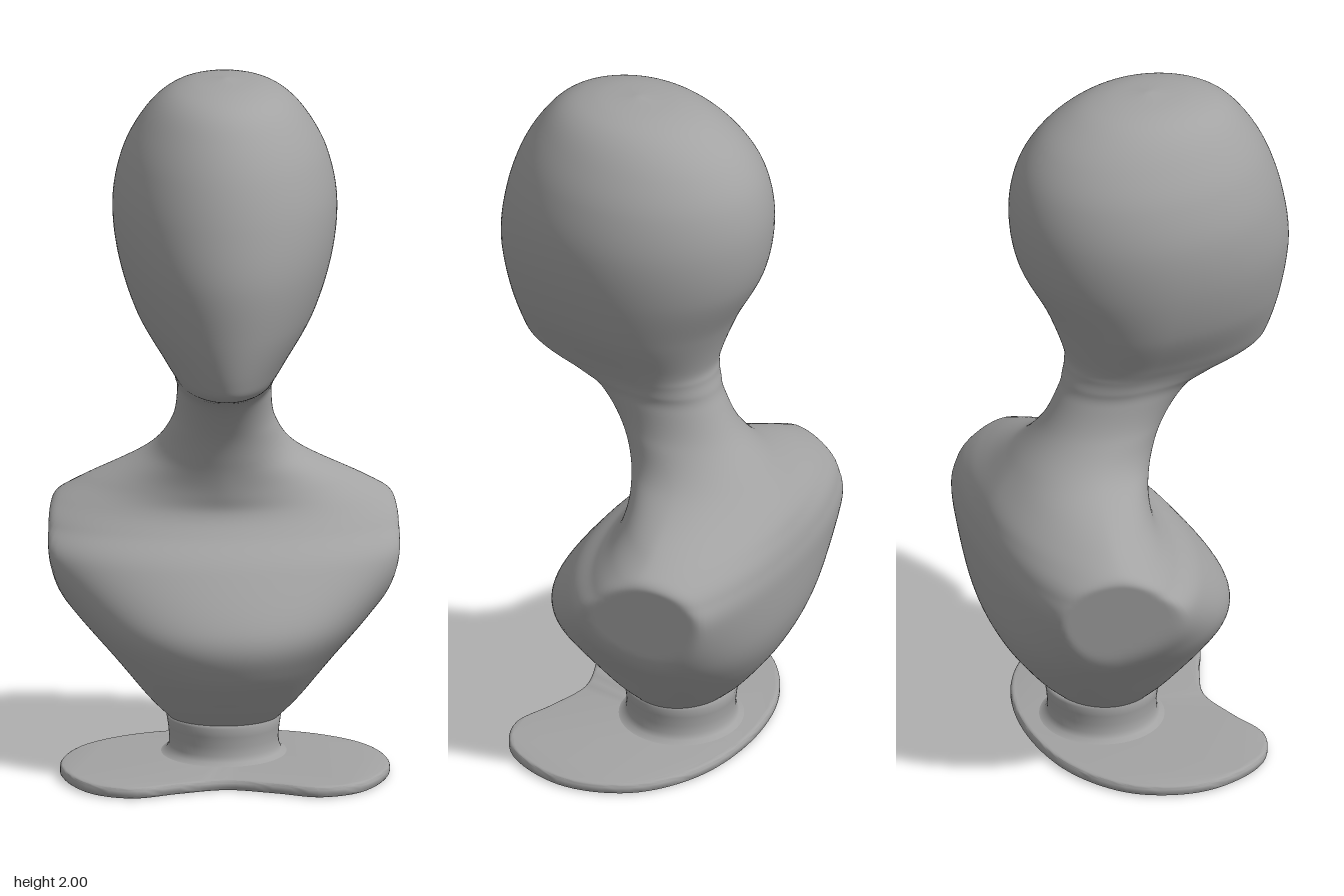
import * as THREE from 'three';
import { toCreasedNormals } from 'three/addons/utils/BufferGeometryUtils.js';

// Cross-sections from crown to waist:
// [y, half width, z of widest point, front z, back z]
const SECTIONS = [
  [2, 0, 0.05, 0.05, 0.05],
  [1.985, 0.105, 0.05, 0.18, -0.08],
  [1.95, 0.175, 0.05, 0.27, -0.175],
  [1.88, 0.235, 0.04, 0.335, -0.265],
  [1.78, 0.285, 0.03, 0.39, -0.325],
  [1.65, 0.31, 0.03, 0.43, -0.345],
  [1.5, 0.296, 0.03, 0.45, -0.32],
  [1.34, 0.247, 0.02, 0.432, -0.24],
  [1.21, 0.175, 0, 0.4, -0.192],
  [1.16, 0.148, -0.02, 0.365, -0.19],
  [1.125, 0.137, -0.03, 0.265, -0.197],
  [1.08, 0.13, -0.04, 0.165, -0.21],
  [0.98, 0.145, -0.09, 0.085, -0.26],
  [0.88, 0.212, -0.165, 0.045, -0.34],
  [0.79, 0.385, -0.2, 0.025, -0.41],
  [0.735, 0.48, -0.2, 0.022, -0.435],
  [0.68, 0.54, -0.2, 0.06, -0.447],
  [0.6, 0.56, -0.2, 0.15, -0.45],
  [0.44, 0.425, -0.18, 0.255, -0.428],
  [0.32, 0.318, -0.15, 0.228, -0.378],
  [0.2, 0.215, -0.1, 0.125, -0.29],
  [0.13, 0.145, -0.087, 0.05, -0.22],
];
const ROWS = 210, COLS = 112;

const softMin = (a, b, k) => {
  const h = Math.max(k - Math.abs(a - b), 0) / k;
  return Math.min(a, b) - h * h * k / 4;
};
const bump = (y, centre, spread) => Math.exp(-(((y - centre) / spread) ** 2));

function bustGeometry() {
  const spline = (pick) => new THREE.CatmullRomCurve3(
    SECTIONS.map((s) => new THREE.Vector3(...pick(s))), false, 'catmullrom', 0.5);
  const outline = spline((s) => [s[0], s[1], s[2]]);
  const depth = spline((s) => [s[3], s[4], 0]);
  const positions = [], index = [];
  for (let i = 0; i <= ROWS; i++) {
    const { x: y, y: width, z: zWide } = outline.getPoint(i / ROWS);
    const { x: zFront, y: zBack } = depth.getPoint(i / ROWS);
    // sections are ellipses, leaner along the shoulders and fuller at the chest
    const n = 2 - 0.35 * bump(y, 0.8, 0.07) + 0.15 * bump(y, 0.4, 0.13);
    for (let j = 0; j < COLS; j++) {
      const a = j / COLS * Math.PI * 2, s = Math.sin(a), c = Math.cos(a);
      const r = Math.pow(Math.pow(Math.abs(s), n) + Math.pow(Math.abs(c), n), -1 / n);
      const z = zWide + r * c * (c > 0 ? zFront - zWide : zWide - zBack);
      // slanted plane that trims each arm to a flat disc
      const cut = 0.447 + 0.22 * (z + 0.2) + 0.17 * (y - 0.58);
      const x = Math.sign(s) * softMin(Math.abs(width * r * s), cut, 0.03);
      positions.push(x, y, z);
      if (i < ROWS) {
        const p = i * COLS + j, q = i * COLS + (j + 1) % COLS;
        if (i > 0) index.push(p, q + COLS, q);
        index.push(p, p + COLS, q + COLS);
      }
    }
  }
  const geo = new THREE.BufferGeometry();
  geo.setAttribute('position', new THREE.Float32BufferAttribute(positions, 3));
  geo.setIndex(index);
  geo.computeVertexNormals();
  // all crown vertices share one upward normal
  for (let j = 0; j < COLS; j++) geo.attributes.normal.setXYZ(j, 0, 1, 0);
  return geo;
}

// Kidney-shaped plate with a shallow dent at the front
function baseGeometry() {
  const half = [[0.13, 0.25], [0.26, 0.295], [0.38, 0.24], [0.455, 0.05],
    [0.4, -0.14], [0.24, -0.265]];
  const mirrored = half.map(([x, z]) => [-x, z]).reverse();
  const loop = [[0, 0.215], ...half, [0, -0.31], ...mirrored];
  const curve = new THREE.CatmullRomCurve3(
    loop.map(([x, z]) => new THREE.Vector3(x, -z, 0)), true);
  const shape = new THREE.Shape(
    curve.getSpacedPoints(96).slice(0, -1).map((p) => new THREE.Vector2(p.x, p.y)));
  const geo = new THREE.ExtrudeGeometry(shape, {
    depth: 0.012, bevelThickness: 0.01, bevelSize: 0.012, bevelOffset: -0.012, bevelSegments: 4,
  });
  geo.rotateX(-Math.PI / 2).translate(0, 0.01, 0);
  return toCreasedNormals(geo, 0.7);
}

// Short round post, flared where it meets the base
function postGeometry() {
  const profile = [[0.19, 0.028], [0.175, 0.031], [0.159, 0.04], [0.152, 0.055],
    [0.151, 0.08], [0.154, 0.11], [0.158, 0.135], [0.15, 0.145], [0, 0.145]];
  return new THREE.LatheGeometry(profile.map((p) => new THREE.Vector2(...p)), 64);
}

export function createModel() {
  const group = new THREE.Group();
  const grey = new THREE.MeshStandardMaterial({ color: 0xa3a3a3 });
  grey.name = 'matte grey';
  const add = (name, geo) => {
    const mesh = new THREE.Mesh(geo, grey);
    mesh.name = name;
    group.add(mesh);
    return mesh;
  };

  // Head, neck and torso as one smooth skin
  add('bust', bustGeometry());
  add('post', postGeometry()).position.z = -0.087;
  add('base', baseGeometry());
  return group;
}
